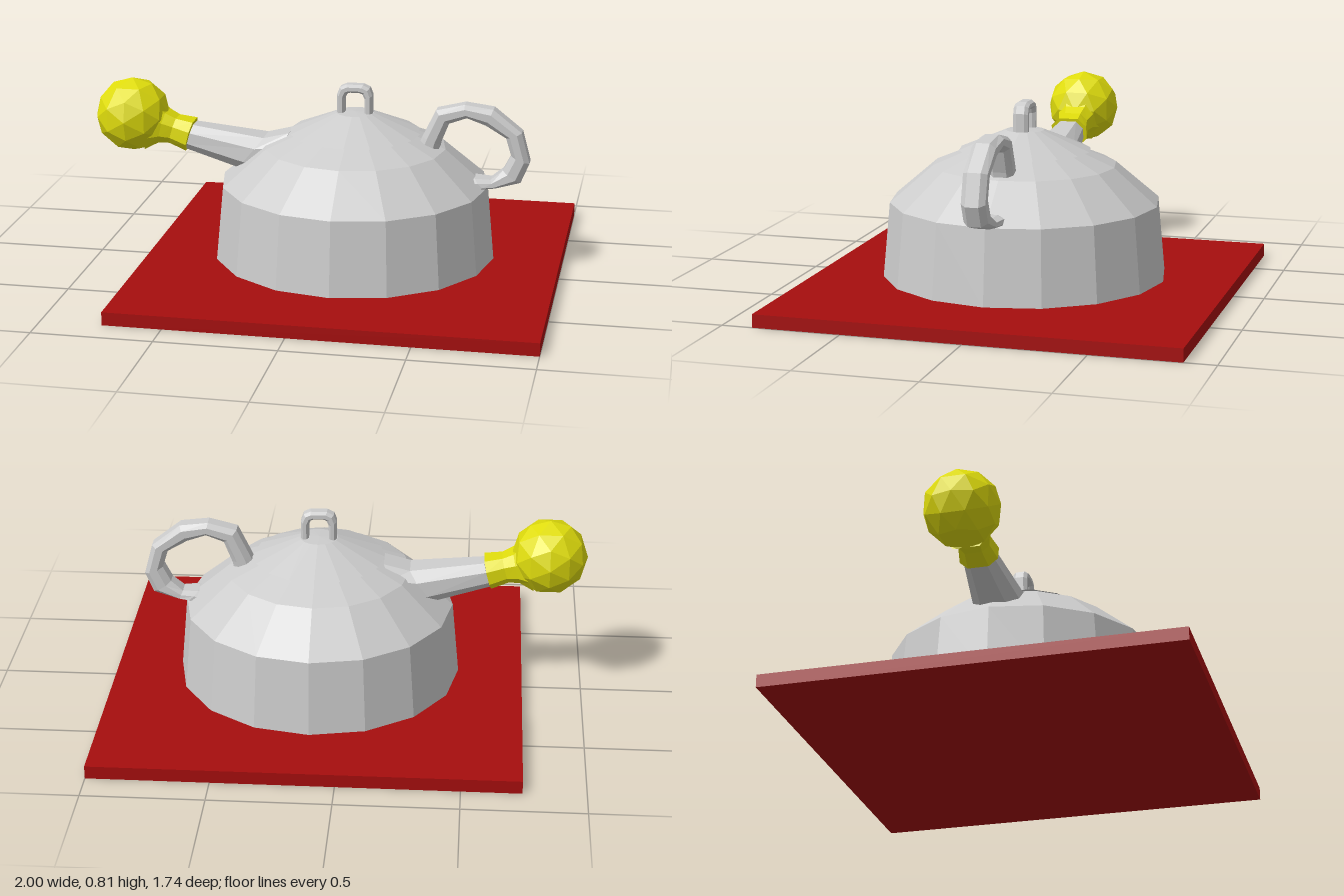
import * as THREE from 'three';

const CX = 0.125; // axis of the pot

// Lofts a bevelled eight-sided bar through sections [outerX, outerY, innerX, innerY, halfWidth].
function bar(sections) {
  const loop = [[1, 0.55], [0.72, 1], [0.28, 1], [0, 0.55], [0, -0.55], [0.28, -1], [0.72, -1], [1, -0.55]];
  const n = loop.length, pos = [], idx = [];
  for (const [ox, oy, ix, iy, w] of sections)
    for (const [u, v] of loop) pos.push(ix + (ox - ix) * u, iy + (oy - iy) * u, v * w);
  const last = (sections.length - 1) * n;
  for (let i = 0; i < last; i += n)
    for (let j = 0; j < n; j++) {
      const k = (j + 1) % n;
      idx.push(i + j, i + k, i + n + j, i + k, i + n + k, i + n + j);
    }
  for (let j = 1; j < n - 1; j++) idx.push(0, j + 1, j, last, last + j, last + j + 1);
  const g = new THREE.BufferGeometry();
  g.setAttribute('position', new THREE.Float32BufferAttribute(pos, 3));
  g.setIndex(idx);
  const flat = g.toNonIndexed();
  flat.computeVertexNormals();
  return flat;
}

function material(name, color) {
  const m = new THREE.MeshStandardMaterial({ color, flatShading: true });
  m.name = name;
  return m;
}

export function createModel() {
  const root = new THREE.Group();
  const metal = material('light grey metal', 0xcccccc);
  const red = material('red board', 0xa60e0e);
  const yellow = material('yellow', 0xdfdc0c);

  const add = (name, geometry, mat, x = 0, y = 0, z = 0) => {
    const mesh = new THREE.Mesh(geometry, mat);
    mesh.name = name;
    mesh.position.set(x, y, z);
    root.add(mesh);
    return mesh;
  };
  const lathe = (points) => new THREE.LatheGeometry(points.map(([r, y]) => new THREE.Vector2(r, y)), 16);

  // Board under the kettle
  add('board', new THREE.BoxGeometry(1.745, 0.055, 1.74), red, 0.1275, 0.0275);

  // Sixteen-sided pot with domed shoulders
  add('pot', lathe([[0, 0.075], [0.597, 0.075], [0.567, 0.39], [0.385, 0.545], [0.24, 0.605], [0, 0.606]]), metal, CX);

  // Lid overhangs the shoulder a little
  add('lid', lathe([[0, 0.602], [0.277, 0.605], [0.08, 0.688], [0, 0.692]]), metal, CX);

  // Small arched knob on the lid
  add('lidKnob', bar([
    [0.05, 0.67, 0.083, 0.67, 0.032],
    [0.05, 0.765, 0.083, 0.75, 0.032],
    [0.062, 0.797, 0.092, 0.77, 0.032],
    [0.09, 0.81, 0.105, 0.775, 0.032],
    [0.16, 0.81, 0.145, 0.775, 0.032],
    [0.188, 0.797, 0.158, 0.77, 0.032],
    [0.2, 0.765, 0.167, 0.75, 0.032],
    [0.2, 0.67, 0.167, 0.67, 0.032],
  ]), metal);

  // Looped handle on the left side
  add('handle', bar([
    [0.40, 0.57, 0.48, 0.53, 0.05],
    [0.415, 0.605, 0.49, 0.575, 0.05],
    [0.47, 0.72, 0.525, 0.665, 0.05],
    [0.59, 0.75, 0.60, 0.693, 0.05],
    [0.71, 0.735, 0.68, 0.665, 0.05],
    [0.83, 0.64, 0.765, 0.615, 0.05],
    [0.865, 0.51, 0.788, 0.54, 0.05],
    [0.83, 0.425, 0.755, 0.475, 0.05],
    [0.725, 0.395, 0.705, 0.432, 0.055],
    [0.69, 0.392, 0.64, 0.435, 0.066],
    [0.64, 0.37, 0.60, 0.43, 0.066],
  ]), metal);

  // Spout widens into the shoulder
  add('spout', bar([
    [-0.57, 0.603, -0.6, 0.497, 0.065],
    [-0.26, 0.567, -0.37, 0.432, 0.098],
    [-0.15, 0.595, -0.25, 0.4, 0.1],
  ]), metal);

  // Waisted whistle neck and faceted ball
  add('whistleNeck', bar([
    [-0.74, 0.70, -0.78, 0.49, 0.1],
    [-0.69, 0.65, -0.72, 0.52, 0.078],
    [-0.645, 0.627, -0.675, 0.518, 0.065],
    [-0.57, 0.615, -0.602, 0.49, 0.08],
  ]), yellow);
  add('whistleBall', new THREE.IcosahedronGeometry(0.16, 1), yellow, -0.841, 0.63);

  return root;
}
